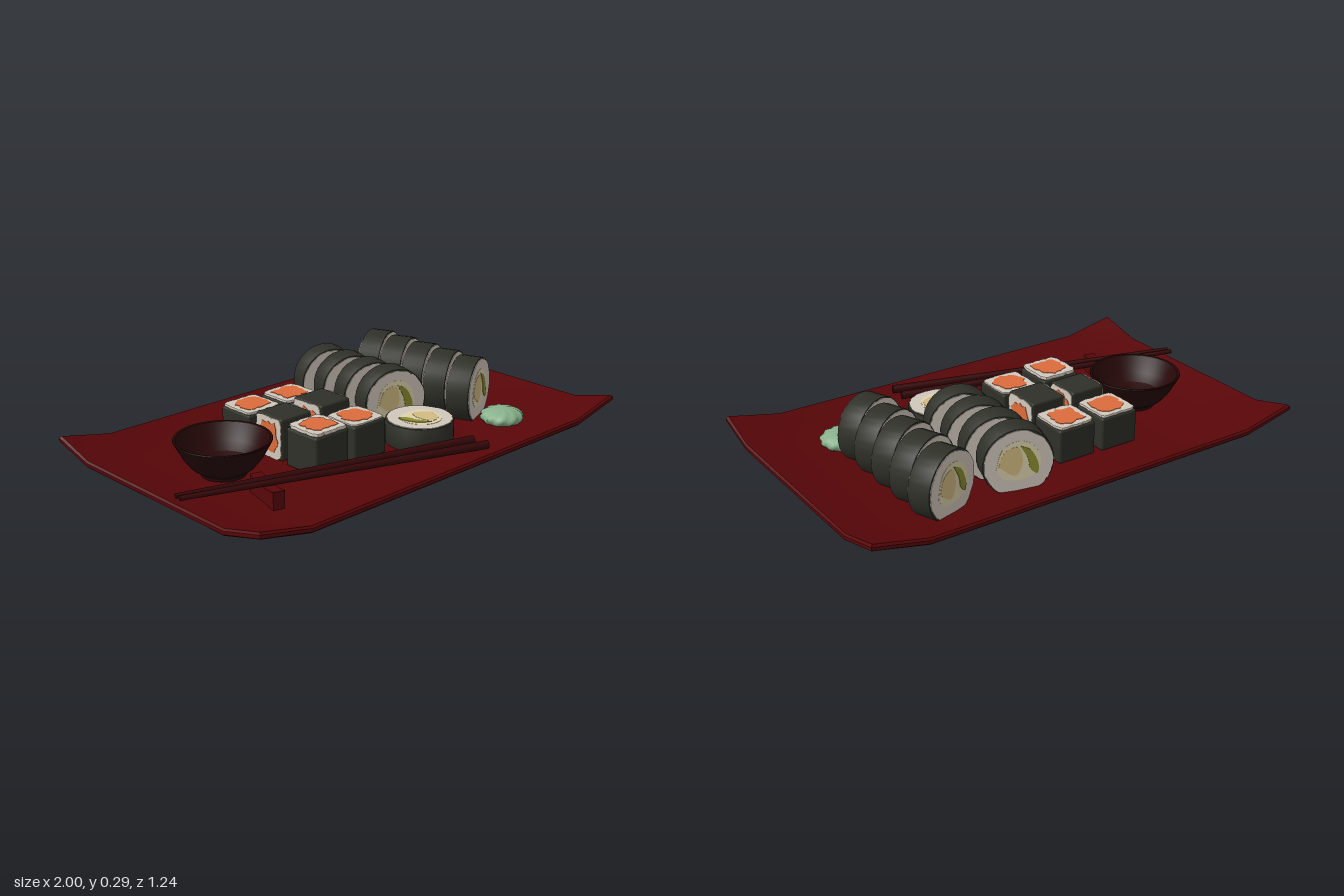
import * as THREE from 'three';
import { toCreasedNormals } from 'three/addons/utils/BufferGeometryUtils.js';
import { RoundedBoxGeometry } from 'three/addons/geometries/RoundedBoxGeometry.js';

const mat = (name, color) => Object.assign(new THREE.MeshStandardMaterial({ color }), { name });
const M = {
  tray: mat('red lacquer', 0x580608),
  bowl: mat('dark lacquer', 0x270707),
  wood: mat('chopstick wood', 0x350607),
  nori: mat('seaweed', 0x2f3028),
  rice: mat('rice', 0xd2c8bc),
  salmon: mat('salmon', 0xdc6c3c),
  cream: mat('cream filling', 0xdfd2ac),
  egg: mat('egg', 0xd2bb82),
  avocado: mat('avocado', 0x8a8c30),
  wasabi: mat('wasabi', 0x88b08b),
};
const FLOOR = 0.028; // top of the tray's flat middle

let seed = 7;
const rand = () => ((seed = (seed * 16807) % 2147483647) / 2147483647) * 2 - 1;

function mesh(name, geo, material, x = 0, y = 0, z = 0) {
  const m = new THREE.Mesh(geo, material);
  m.name = name;
  m.position.set(x, y, z);
  return m;
}

function group(name, ...children) {
  const g = new THREE.Group();
  g.name = name;
  if (children.length) g.add(...children);
  return g;
}

// Flat slab in the xy plane, filling z from 0 to depth
function slab(points, depth, bevel = 0) {
  const geo = new THREE.ExtrudeGeometry(new THREE.Shape(points), {
    depth: depth - 2 * bevel, bevelEnabled: bevel > 0, bevelThickness: bevel,
    bevelSize: bevel, bevelOffset: -bevel, bevelSegments: 2,
  });
  return geo.translate(0, 0, bevel);
}

// Closed outline: power 2 is round, higher is squarer; low cuts the underside flat
function outline(n, r, jitter = 0, power = 2, low = -9) {
  return Array.from({ length: n }, (_, i) => {
    const a = ((i + 0.5) / n) * Math.PI * 2, c = Math.cos(a), s = Math.sin(a);
    const k = (r + jitter * rand()) / Math.pow(Math.abs(c) ** power + Math.abs(s) ** power, 1 / power);
    return new THREE.Vector2(c * k, Math.max(s * k, low));
  });
}

const smooth = (pts) =>
  new THREE.SplineCurve([...pts, pts[0]].map((p) => new THREE.Vector2(...p))).getPoints(28).slice(0, -1);

// Tray: thin sheet with a raised sloping rim and four upturned corners
function makeTray() {
  const xs = [-1, -0.76, 0.76, 1], ys = [0, 0.007, 0.021, FLOOR], zs = [-0.62, -0.42, 0.42, 0.62];
  const geo = new THREE.BoxGeometry(3, 3, 3, 3, 3, 3);
  const p = geo.attributes.position;
  for (let i = 0; i < p.count; i++) {
    const [a, b, c] = [p.getX(i), p.getY(i), p.getZ(i)].map((v) => Math.round(v + 1.5));
    const ex = a % 3 === 0, ez = c % 3 === 0;
    const inset = (b % 3 === 0 ? 0.008 : 0) + (ex && ez ? 0.004 : 0);
    p.setXYZ(i,
      xs[a] - (ex ? Math.sign(xs[a]) * inset : 0),
      ys[b] + (ex || ez ? 0.052 : 0) + (ex && ez ? 0.05 : 0),
      zs[c] - (ez ? Math.sign(zs[c]) * inset : 0));
  }
  return mesh('tray', toCreasedNormals(geo, 0.5), M.tray);
}

// One cut face of a round roll, facing +z
function rollFace(low) {
  const cream = smooth([[-0.09, -0.02], [-0.065, 0.065], [0.0, 0.095], [0.065, 0.065], [0.088, -0.01], [0.04, -0.065], [-0.05, -0.065]]);
  const egg = smooth([[-0.08, -0.005], [-0.055, 0.055], [0.0, 0.068], [0.015, 0.0], [-0.015, -0.05]]);
  const avocado = smooth([[0.005, 0.075], [0.05, 0.05], [0.078, -0.01], [0.073, -0.05], [0.045, -0.025], [0.035, 0.02]]);
  return group('cutFace',
    mesh('rice', slab(outline(64, 0.1365, 0.0025, 2, low + 0.003), 0.003), M.rice),
    mesh('creamFilling', slab(cream, 0.001), M.cream, 0, 0, 0.003),
    mesh('eggFilling', slab(egg, 0.002), M.egg, 0, 0, 0.003),
    mesh('avocadoFilling', slab(avocado, 0.003), M.avocado, 0, 0, 0.003));
}

// Round roll with its axis on z
function makeRoll(low = -9) {
  const d = 0.1;
  const wrap = toCreasedNormals(slab(outline(28, 0.143, 0, 2, low), d, 0.004), 0.6);
  const front = rollFace(low), back = rollFace(low);
  front.position.z = d / 2;
  back.position.z = -d / 2;
  back.rotation.y = Math.PI;
  return group('roundRoll', mesh('seaweedWrap', wrap, M.nori, 0, 0, -d / 2), front, back);
}

// Rice and salmon end of a square roll, facing +z
function squareFace(half, thick, bevel) {
  return group('cutFace',
    mesh('rice', slab(outline(48, half, 0.003, 8), thick, bevel), M.rice),
    mesh('salmon', slab(outline(22, 0.063, 0.01, 3.5), 0.002), M.salmon, 0, 0, thick));
}

// Square roll standing on end, with the cut face up
function uprightBlock(x, z, top, thick) {
  const h = top - thick - FLOOR;
  const face = squareFace(0.086, thick, thick / 3);
  face.rotation.x = -Math.PI / 2;
  face.position.y = h;
  const g = group('squareRoll', mesh('seaweedWrap', new RoundedBoxGeometry(0.176, h, 0.176, 2, 0.01), M.nori, 0, h / 2, 0), face);
  g.position.set(x, FLOOR, z);
  return g;
}

// Square roll lying on its side, with cut faces left and right
function lyingBlock(x, z, width, top) {
  const h = top - FLOOR, len = 0.16;
  const g = group('lyingSquareRoll', mesh('seaweedWrap', new RoundedBoxGeometry(len, h, width, 2, 0.01), M.nori));
  for (const s of [-1, 1]) {
    const face = squareFace(0.086, 0.003, 0);
    face.scale.set(width / 0.178, h / 0.178, 1);
    face.rotation.y = (s * Math.PI) / 2;
    face.position.x = (s * len) / 2;
    g.add(face);
  }
  g.position.set(x, FLOOR + h / 2, z);
  return g;
}

// Sauce bowl turned on a lathe
function makeBowl() {
  const profile = [[0, 0], [0.09, 0], [0.093, 0.014], [0.125, 0.035], [0.158, 0.076], [0.195, 0.145], [0.193, 0.149],
    [0.184, 0.147], [0.147, 0.08], [0.115, 0.048], [0, 0.038]].map((p) => new THREE.Vector2(...p));
  return mesh('sauceBowl', toCreasedNormals(new THREE.LatheGeometry(profile, 40), 0.7), M.bowl, -0.61, FLOOR, -0.06);
}

// Tapered chopstick from thin tip to thick handle
function chopstick(tip, end) {
  const a = new THREE.Vector3(...tip), b = new THREE.Vector3(...end);
  const dir = b.clone().sub(a);
  const m = mesh('chopstick', new THREE.CylinderGeometry(0.018, 0.01, dir.length(), 12), M.wood);
  m.position.copy(a).add(b).multiplyScalar(0.5);
  m.quaternion.setFromUnitVectors(new THREE.Vector3(0, 1, 0), dir.normalize());
  return m;
}

// Chopstick rest with a dipped top
function makeRest() {
  const side = [[-0.1, 0], [0.1, 0], [0.1, 0.072], [0.05, 0.064], [0, 0.061], [-0.05, 0.064], [-0.1, 0.072]];
  const geo = slab(side.map((p) => new THREE.Vector2(...p)), 0.048).translate(0, 0, -0.024);
  const m = mesh('chopstickRest', geo, M.tray, -0.652, FLOOR, 0.25);
  m.rotation.y = THREE.MathUtils.degToRad(75);
  return m;
}

// Wasabi: squashed dome with swirling ridges
function makeWasabi() {
  const geo = new THREE.SphereGeometry(1, 48, 14, 0, Math.PI * 2, 0, Math.PI * 0.7);
  const p = geo.attributes.position;
  for (let i = 0; i < p.count; i++) {
    const x = p.getX(i), y = p.getY(i), z = p.getZ(i), r = Math.hypot(x, z);
    const ridge = 1 + 0.045 * r * Math.cos(10 * Math.atan2(z, x) + 4 * y);
    p.setXYZ(i, x * 0.092 * ridge, y * 0.04 * ridge, z * 0.092 * ridge);
  }
  geo.computeVertexNormals();
  return mesh('wasabi', geo, M.wasabi, 0.622, FLOOR + 0.021, 0.31);
}

export function createModel() {
  const model = group('sushiTray', makeTray(), makeBowl(), makeRest(), makeWasabi());

  // Two rows of leaning round rolls
  const rows = [
    { name: 'leftRollRow', n: 5, x: 0.575, z: -0.388, step: 0.1355, yaw: 22 },
    { name: 'rightRollRow', n: 4, x: 0.24, z: -0.38, step: 0.13, yaw: -18 },
  ];
  for (const { name, n, x, z, step, yaw } of rows) {
    const row = group(name);
    for (let i = 0; i < n; i++) {
      const roll = makeRoll(-0.119);
      roll.position.set(x, 0.146, z + i * step);
      roll.rotation.y = THREE.MathUtils.degToRad(yaw);
      row.add(roll);
    }
    model.add(row);
  }

  // Single round roll lying face up
  const flat = makeRoll();
  flat.name = 'flatRoundRoll';
  flat.position.set(0.195, FLOOR + 0.05, 0.225);
  flat.rotation.set(-Math.PI / 2, 0, Math.PI);
  model.add(flat);

  // Six square rolls
  model.add(group('squareRolls',
    uprightBlock(-0.295, -0.265, 0.185, 0.012), uprightBlock(-0.087, -0.26, 0.185, 0.012),
    uprightBlock(-0.295, 0.137, 0.205, 0.016), uprightBlock(-0.087, 0.135, 0.187, 0.008),
    lyingBlock(-0.293, -0.065, 0.155, 0.205), lyingBlock(-0.086, -0.065, 0.17, 0.213)));

  // Pair of chopsticks
  model.add(group('chopsticks',
    chopstick([-0.99, 0.111, 0.14], [0.25, 0.085, 0.47]),
    chopstick([-0.99, 0.111, 0.165], [0.25, 0.085, 0.545])));
  return model;
}
